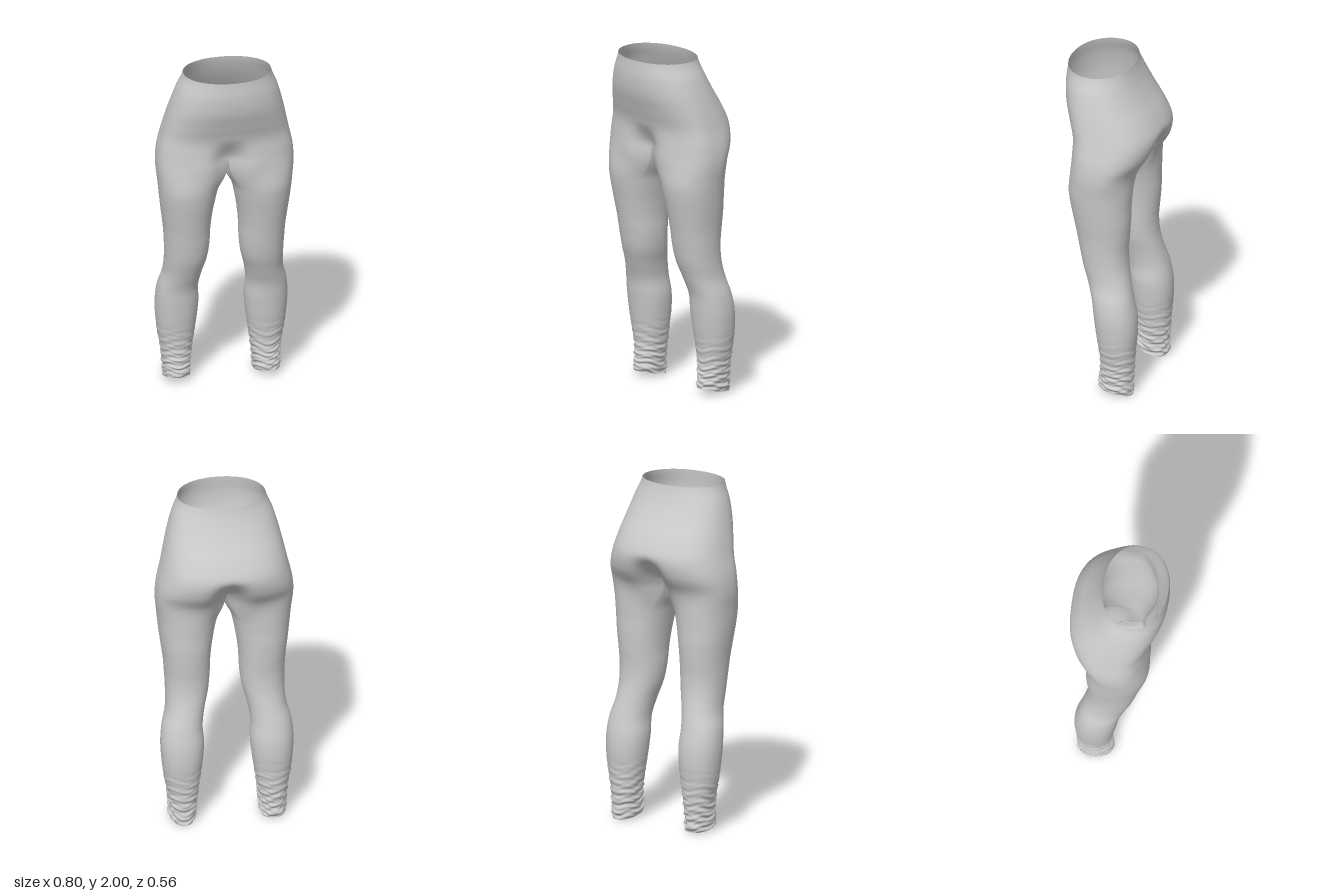
import * as THREE from 'three';
import { mergeVertices } from 'three/addons/utils/BufferGeometryUtils.js';

// Silhouette profiles, one value per 0.1 of height from y = 0 to y = 2
const profile = (values) => {
  const curve = new THREE.SplineCurve(values.map((v) => new THREE.Vector2(v, 0)));
  return (y) => curve.getPoint(THREE.MathUtils.clamp(y / 2, 0, 1)).x;
};
const outer = profile([0.335, 0.343, 0.352, 0.37, 0.381, 0.385, 0.375, 0.35, 0.345, 0.348, 0.355,
  0.368, 0.38, 0.39, 0.399, 0.391, 0.368, 0.346, 0.322, 0.293, 0.255]);
const inner = profile([0.188, 0.18, 0.17, 0.155, 0.142, 0.135, 0.14, 0.125, 0.1, 0.088, 0.084,
  0.073, 0.055, 0.032, 0.004, 0, 0, 0, 0, 0, 0]);
const front = profile([0, -0.006, -0.01, 0, 0.015, 0.028, 0.042, 0.075, 0.11, 0.132, 0.15,
  0.17, 0.19, 0.204, 0.21, 0.205, 0.207, 0.24, 0.273, 0.285, 0.28]);
const back = profile([-0.2, -0.204, -0.21, -0.217, -0.225, -0.22, -0.2, -0.175, -0.155, -0.15, -0.158,
  -0.164, -0.165, -0.173, -0.2, -0.262, -0.282, -0.243, -0.183, -0.132, -0.1]);

const CROTCH = 1.46; // height where the hips divide into legs
const OUT = 52; // segments around the outside of one half
const IN = 22; // segments along the inner leg
const SPREAD = 0.9; // how far the outside wraps round the leg, in radians
const { smoothstep, lerp } = THREE.MathUtils;
const power = (v, p) => Math.sign(v) * Math.abs(v) ** p;

// Point on one half of the hips: t runs from centre front, round the side, to centre back
function hipPoint(y, t) {
  const k = Math.min(1, (2 - y) / (2 - CROTCH));
  const p = 2 / (2.1 + 0.5 * k);
  const c = power(Math.cos(Math.PI * t), p);
  const x = outer(y) * power(Math.abs(Math.sin(Math.PI * t)), p);
  const mid = 0.08 * (1 - k);
  let z = c > 0 ? mid + c * (front(y) - mid) : mid + c * (mid - back(y));
  // Centre seam sinks in towards the crotch
  const seam = Math.exp(-((x / 0.08) ** 2)) * (1 - smoothstep(y, CROTCH, 1.62));
  z += c > 0 ? -0.07 * seam : 0.11 * seam;
  return new THREE.Vector3(t === 0 || t === 1 ? 0 : x, y, z);
}

// Point on a leg loop: the outside first, then the inner leg from back to front
function legPoint(y, j, side) {
  const isInner = j > OUT;
  const t = isInner ? (j - OUT) / IN : j / OUT;
  const a = isInner
    ? Math.PI + SPREAD + t * (Math.PI - 2 * SPREAD)
    : -SPREAD + t * (Math.PI + 2 * SPREAD);
  const o = outer(y), i = inner(y), f = front(y), b = back(y);

  // Gathered wrinkles, deepening towards the ankle
  const gather = 1 - smoothstep(y, 0.06, 0.42);
  const wave = Math.sin(y * 120 + 1.6 * Math.sin(2 * a + side) + 1.2 * Math.sin(3 * a - side + y * 14))
    + 0.6 * Math.sin(y * 210 + 2 * Math.sin(a + side * 2) + 2 * Math.cos(4 * a));
  const cuff = 0.006 * Math.exp(-(((y - 0.035) / 0.012) ** 2));
  const swell = gather * 0.0038 * wave + cuff;

  const p = 2 / 2.15;
  const leg = new THREE.Vector3(
    (o + i) / 2 + ((o - i) / 2 + swell) * power(Math.sin(a), p),
    y,
    (f + b) / 2 + ((f - b) / 2 + swell) * power(Math.cos(a), p)
  );
  // Hem is cut higher at the front
  leg.y += 0.038 * (1 - smoothstep(y, 0, 0.22)) * THREE.MathUtils.clamp((leg.z - b) / (f - b), 0, 1);

  // Just below the hips the loop starts as half a hip section closed by the crotch seam
  const s = 1 - smoothstep(y, 1.24, CROTCH);
  if (s >= 1) return leg;
  const start = isInner
    ? new THREE.Vector3(0, y - 0.06 * Math.sin(Math.PI * t), lerp(hipPoint(y, 1).z, hipPoint(y, 0).z, t))
    : hipPoint(y, t);
  return start.lerp(leg, s);
}

// Adds a grid of loops to the shared surface; the mirrored side flips its faces
function addRows(positions, index, rows, closed, side) {
  const base = positions.length / 3;
  const n = rows[0].length;
  rows.flat().forEach((p) => positions.push(p.x * side, p.y, p.z));
  for (let r = 0; r < rows.length - 1; r++) {
    for (let j = 0; j < (closed ? n : n - 1); j++) {
      const a = base + r * n + j;
      const b = base + r * n + ((j + 1) % n);
      const c = a + n, d = b + n;
      if (side > 0) index.push(a, c, b, b, c, d);
      else index.push(a, b, c, b, d, c);
    }
  }
}

export function createModel() {
  const positions = [], index = [];
  for (const side of [1, -1]) {
    // Hips, from waist to crotch
    const hips = [];
    for (let r = 0; r <= 36; r++) {
      const y = lerp(2, CROTCH, r / 36);
      hips.push(Array.from({ length: OUT + 1 }, (_, j) => hipPoint(y, j / OUT)));
    }
    addRows(positions, index, hips, false, side);

    // Leg, with rows closer together at the ankle
    const leg = [];
    for (let r = 0; r <= 170; r++) {
      const y = CROTCH * (1 - r / 170) ** 1.4;
      leg.push(Array.from({ length: OUT + IN }, (_, j) => legPoint(y, j, side)));
    }
    addRows(positions, index, leg, true, side);
  }

  // Weld the halves into one smooth garment
  let geometry = new THREE.BufferGeometry();
  geometry.setAttribute('position', new THREE.Float32BufferAttribute(positions, 3));
  geometry.setIndex(index);
  geometry = mergeVertices(geometry, 1e-5);
  geometry.computeVertexNormals();

  const leggings = new THREE.Mesh(
    geometry,
    new THREE.MeshStandardMaterial({ color: 0xcccccc, side: THREE.DoubleSide })
  );
  leggings.name = 'leggings';
  const group = new THREE.Group();
  group.name = 'leggingsModel';
  group.add(leggings);
  return group;
}
